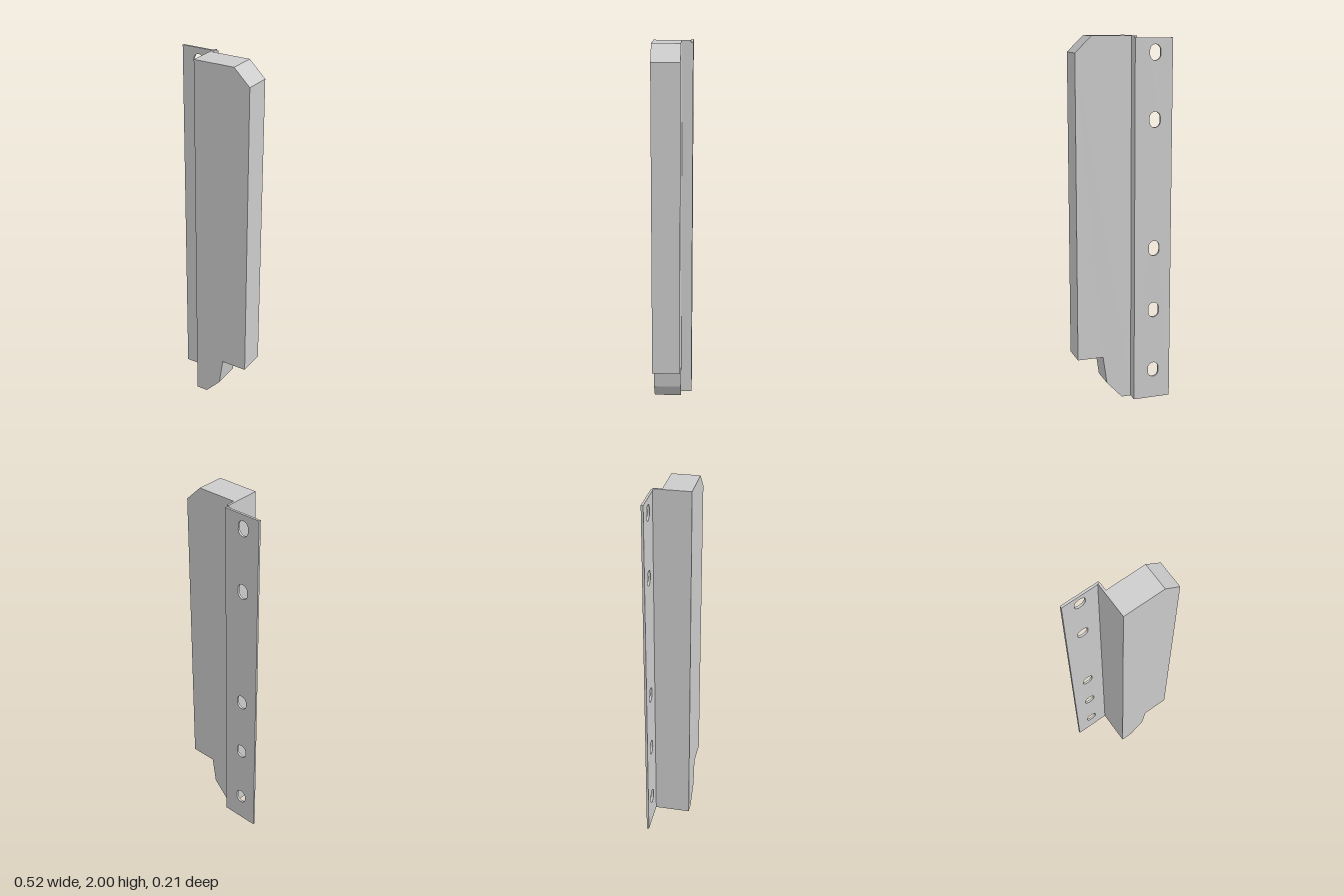
import * as THREE from 'three';

const material = new THREE.MeshStandardMaterial({ color: 0xcccccc });

// Extrude an upright outline between two depths
function plate(name, shape, zBack, zFront) {
  const geometry = new THREE.ExtrudeGeometry(shape, {
    depth: zFront - zBack, bevelEnabled: false, curveSegments: 12,
  });
  geometry.translate(0, 0, zBack);
  const mesh = new THREE.Mesh(geometry, material);
  mesh.name = name;
  return mesh;
}

const outline = (points) => new THREE.Shape(points.map(([x, y]) => new THREE.Vector2(x, y)));

// Upright slot with rounded ends
function slot(x, y, width, height) {
  const r = width / 2, h = height / 2 - r;
  const path = new THREE.Path();
  path.moveTo(x + r, y - h);
  path.lineTo(x + r, y + h);
  path.absarc(x, y + h, r, 0, Math.PI, false);
  path.lineTo(x - r, y - h);
  path.absarc(x, y - h, r, Math.PI, Math.PI * 2, false);
  return path;
}

export function createModel() {
  const model = new THREE.Group();
  model.name = 'mountingBracket';

  // Solid bar with chamfered top corner and stepped foot
  model.add(plate('body', outline([
    [-0.062, 0], [0.003, 0], [0.09, 0.094], [0.112, 0.248],
    [0.257, 0.248], [0.257, 1.914], [0.168, 2], [-0.062, 2],
  ]), -0.047, 0.103));

  // Thin web joining the bar to the flange
  model.add(plate('web', outline([
    [-0.062, 0], [-0.05, 0], [-0.05, 2], [-0.062, 2],
  ]), -0.094, -0.047));

  // Rear mounting flange with five slots
  const flange = outline([[-0.259, 0], [-0.05, 0], [-0.05, 1.99], [-0.259, 1.99]]);
  for (const y of [0.165, 0.515, 0.865, 1.565, 1.915]) {
    flange.holes.push(slot(-0.162, y, 0.06, 0.083));
  }
  model.add(plate('flange', flange, -0.106, -0.094));

  return model;
}
